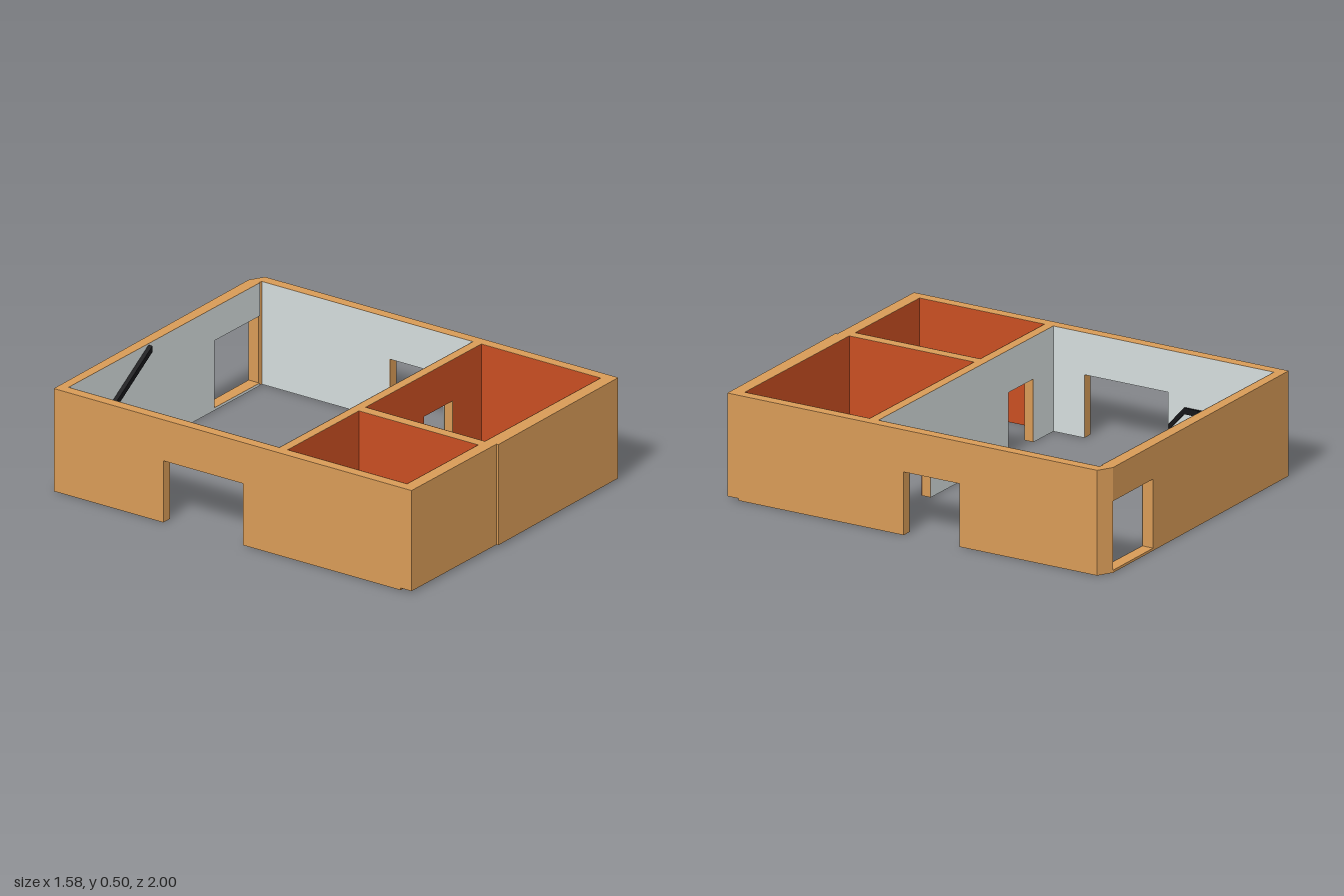
import * as THREE from 'three';

const H = 0.5;
const paint = (color) => new THREE.MeshStandardMaterial({ color, side: THREE.DoubleSide, flatShading: true });

// Elevation of a wall from u0 to u1, with doorways [from, to, height] cut from the bottom edge
function elevation(u0, u1, doors = [], y0 = 0) {
  const pts = [[u0, y0]];
  for (const [a, b, h] of doors) pts.push([a, y0], [a, h], [b, h], [b, y0]);
  pts.push([u1, y0], [u1, H], [u0, H]);
  return polygon(pts);
}

function polygon(pts) {
  return new THREE.Shape(pts.map(([x, y]) => new THREE.Vector2(x, y)));
}

function extrude(shape, depth) {
  return new THREE.ExtrudeGeometry(shape, { depth, bevelEnabled: false });
}

export function createModel() {
  const group = new THREE.Group();
  const tan = paint(0xd89b57);
  const red = paint(0xc84e22);
  const grey = paint(0xd4dcdc);
  const black = paint(0x151518);

  const add = (name, geometry, material) => {
    const mesh = new THREE.Mesh(geometry, material);
    mesh.name = name;
    group.add(mesh);
    return mesh;
  };
  // Solids whose elevation runs along x, or along z
  const alongX = (name, shape, z0, z1, material = tan) =>
    add(name, extrude(shape, z1 - z0).translate(0, 0, z0), material);
  const alongZ = (name, shape, x0, x1, material = tan) =>
    add(name, extrude(shape, x1 - x0).translate(0, 0, -x1).rotateY(-Math.PI / 2), material);

  // Doorways
  const leftDoor = [[-0.235, 0.06, 0.3]];
  const rightDoor = [[-0.38, 0.06, 0.3]];
  const smallDoorA = [-0.57, -0.36, 0.3];
  const smallDoorB = [0.3, 0.52, 0.3];

  // Side walls and inner partitions
  alongZ('leftWall', elevation(-0.94, 0.93, leftDoor), 0.74, 0.79);
  alongZ('rightWall', elevation(-0.94, 0.93, rightDoor), -0.79, -0.74);
  alongX('crossPartition', elevation(-0.74, 0.74, [smallDoorA, smallDoorB]), 0.225, 0.27);
  alongZ('roomDivider', elevation(0.27, 0.93), -0.195, -0.145);

  // Front wall in two lengths with a slight step at the joint
  alongX('frontWallRight', elevation(-0.79, -0.14, [], 0.01), 0.93, 0.99);
  const frontLeft = alongX('frontWallLeft', elevation(-0.14, 0.79, [], 0.01), 0.93, 1);
  const fp = frontLeft.geometry.attributes.position;
  for (let i = 0; i < fp.count; i++) {
    if (fp.getZ(i) > 0.95 && fp.getX(i) > 0) fp.setZ(i, 0.99);
  }

  // Back wall: wide opening over a low sill, outer face running slightly askew
  const backOutline = (x0) => polygon([
    [x0, 0], [0.72, 0], [0.72, 0.012], [0.375, 0.012],
    [0.375, 0.34], [0.72, 0.34], [0.72, H], [x0, H],
  ]);
  const back = alongX('backWall', backOutline(-0.79), -1, -0.94);
  const bp = back.geometry.attributes.position;
  for (let i = 0; i < bp.count; i++) {
    if (bp.getZ(i) < -0.97) bp.setZ(i, -0.985 - 0.015 * (bp.getX(i) + 0.79) / 1.51);
  }

  // Chamfered corner post
  const post = polygon([[0.72, 1], [0.72, 0.945], [0.74, 0.94], [0.79, 0.94], [0.79, 0.96]]);
  add('cornerPost', extrude(post, H).rotateX(-Math.PI / 2), tan);

  // Painted linings, just proud of the walls
  const e = 0.002;
  const faceX = (name, shape, z, material) =>
    add(name, new THREE.ShapeGeometry(shape).translate(0, 0, z), material);
  const faceZ = (name, shape, x, material) =>
    add(name, new THREE.ShapeGeometry(shape).rotateY(-Math.PI / 2).translate(x, 0, 0), material);

  faceX('hallBackLining', backOutline(-0.74), -0.94 + e, grey);
  faceX('hallFrontLining', elevation(-0.74, 0.74, [smallDoorA, smallDoorB]), 0.225 - e, grey);
  faceZ('hallLeftLining', elevation(-0.94, 0.225, leftDoor), 0.74 - e, grey);
  faceZ('hallRightLining', elevation(-0.94, 0.225, rightDoor), -0.74 + e, grey);

  for (const [name, x0, x1, door] of [
    ['rightRoom', -0.74, -0.195, smallDoorA],
    ['leftRoom', -0.145, 0.74, smallDoorB],
  ]) {
    faceX(name + 'BackLining', elevation(x0, x1, [door]), 0.27 + e, red);
    faceX(name + 'FrontLining', elevation(x0, x1, [], 0.01), 0.93 - e, red);
    faceZ(name + 'RightLining', elevation(0.27, 0.93), x0 + e, red);
    faceZ(name + 'LeftLining', elevation(0.27, 0.93), x1 - e, red);
  }

  // Black bent rails on the hall walls
  const rail = (pts) => polygon([
    ...pts.map(([u, y]) => [u, y - 0.015]),
    ...pts.map(([u, y]) => [u, y + 0.015]).reverse(),
  ]);
  alongX('backRail', rail([[-0.7, 0.23], [-0.52, 0.23], [-0.13, 0.48]]), -0.938, -0.917, black);
  alongZ('sideRail', rail([[-0.86, 0.23], [-0.47, 0.23], [-0.39, 0.14]]), -0.742, -0.729, black);

  group.traverse((o) => {
    if (o.isMesh) o.geometry.computeVertexNormals();
  });
  return group;
}
